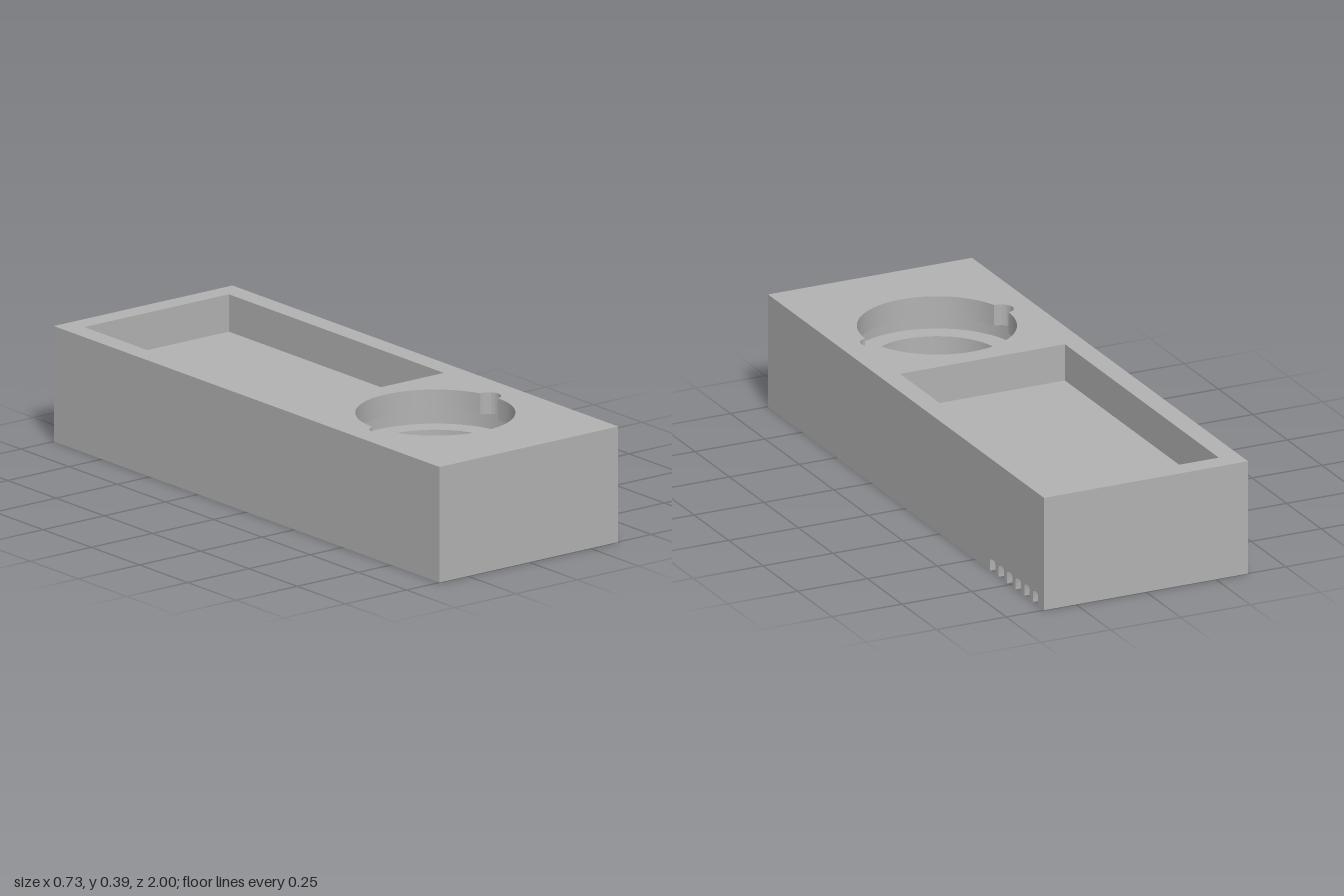
import * as THREE from 'three';
import { toCreasedNormals } from 'three/addons/utils/BufferGeometryUtils.js';

const W = 0.365, L = 1, WALL = 0.07;          // half width, half length, wall thickness
const HOLE_Z = 0.515, BORE = 0.225;           // round opening
const CEILING = 0.13, FLOOR = 0.262, LIP = 0.315, TOP = 0.387;

// Plan outlines are drawn as (x, -z)
const outline = (points, Type = THREE.Shape) =>
  new Type(points.map(([x, z]) => new THREE.Vector2(x, -z)));
const rect = (x0, x1, z0, z1, Type) =>
  outline([[x0, z1], [x1, z1], [x1, z0], [x0, z0]], Type);
const circle = (r, Type = THREE.Path) =>
  new Type().absarc(0, -HOLE_Z, r, 0, Math.PI * 2, false);

// Circle with two opposite rounded key notches
function notchedCircle() {
  const R = 0.257, c = 0.253, r = 0.04, a = 0.159;
  const b = Math.acos((R * R + c * c - r * r) / (2 * R * c));
  const g = Math.atan2(R * Math.sin(b), R * Math.cos(b) - c);
  const path = new THREE.Path();
  for (const t of [a, a + Math.PI]) {
    path.absarc(c * Math.cos(t), -HOLE_Z + c * Math.sin(t), r, t - g, t + g, false);
    path.absarc(0, -HOLE_Z, R, t + b, t + Math.PI - b, false);
  }
  return path;
}

export function createModel() {
  const group = new THREE.Group();
  const grey = new THREE.MeshStandardMaterial({ color: 0xb2b2b2 });
  grey.name = 'plain grey';

  const add = (name, geometry) => {
    const mesh = new THREE.Mesh(toCreasedNormals(geometry, 0.5), grey);
    mesh.name = name;
    group.add(mesh);
  };
  // Horizontal layer between two heights
  const layer = (name, shape, holes, y0, y1) => {
    shape.holes.push(...holes);
    const geo = new THREE.ExtrudeGeometry(shape, { depth: y1 - y0, bevelEnabled: false, curveSegments: 32 });
    add(name, geo.rotateX(-Math.PI / 2).translate(0, y0, 0));
  };
  const body = () => rect(-W, W, -L, L);
  const pocket = () => rect(-0.295, 0.295, -0.93, 0.185, THREE.Path);

  // Upper body: solid floor, locking groove, notched lip
  layer('floorSlab', body(), [circle(BORE)], CEILING, FLOOR);
  layer('grooveLayer', body(), [pocket(), circle(0.293)], FLOOR, LIP);
  layer('topLip', body(), [pocket(), notchedCircle()], LIP, TOP);

  // Hollow underside: three plain walls and the tube around the opening
  const xi = W - WALL, zi = L - WALL;
  layer('lowerWalls', outline([
    [xi, L], [xi, zi], [-xi, zi], [-xi, -zi], [xi, -zi], [xi, -L], [-W, -L], [-W, L],
  ]), [], 0, CEILING);
  layer('tube', circle(0.29, THREE.Shape), [circle(BORE)], 0, CEILING);

  // Left wall with six round-cornered vent slots along its bottom edge
  const wall = new THREE.Shape();
  const slotW = 0.037, slotH = 0.043, k = 0.008;
  wall.moveTo(-L, 0);
  for (let i = 0; i < 6; i++) {
    const s = 0.61 + i * 0.0618 - 0.0001, e = s + slotW;   // profile axis is -z
    if (i === 0) wall.lineTo(s, 0);
    wall.lineTo(s, 0);
    wall.lineTo(s, slotH - k);
    wall.quadraticCurveTo(s, slotH, s + k, slotH);
    wall.lineTo(e - k, slotH);
    wall.quadraticCurveTo(e, slotH, e, slotH - k);
    wall.lineTo(e, 0);
  }
  wall.lineTo(L, 0);
  wall.lineTo(L, CEILING);
  wall.lineTo(-L, CEILING);
  wall.closePath();
  const wallGeo = new THREE.ExtrudeGeometry(wall, { depth: WALL, bevelEnabled: false, curveSegments: 5 });
  add('ventedWall', wallGeo.rotateY(Math.PI / 2).translate(xi, 0, 0));

  return group;
}
